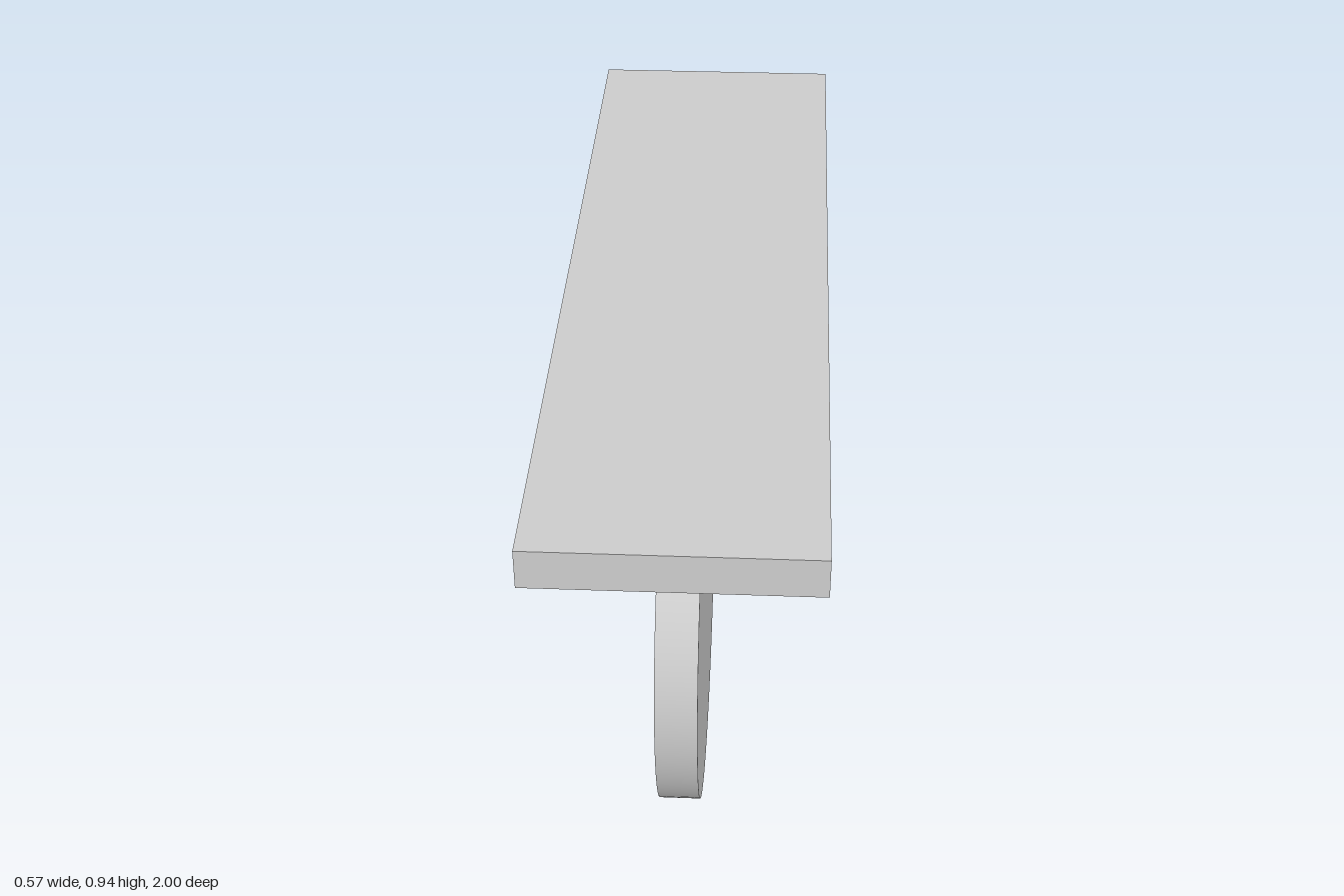
import * as THREE from 'three';

export function createModel() {
  const group = new THREE.Group();
  const material = new THREE.MeshStandardMaterial({ color: 0xcccccc });
  const radius = 0.43, thickness = 0.085;

  // Flat plank resting on the discs
  const top = new THREE.Mesh(new THREE.BoxGeometry(0.568, thickness, 2), material);
  top.name = 'tabletop';
  top.position.y = 2 * radius + thickness / 2;
  group.add(top);

  // Two upright disc legs with their axes across the plank
  const discGeometry = new THREE.CylinderGeometry(radius, radius, thickness, 96).rotateZ(Math.PI / 2);
  for (const [name, z] of [['frontDiscLeg', 0.498], ['backDiscLeg', -0.538]]) {
    const disc = new THREE.Mesh(discGeometry, material);
    disc.name = name;
    disc.position.set(0, radius, z);
    group.add(disc);
  }
  return group;
}
